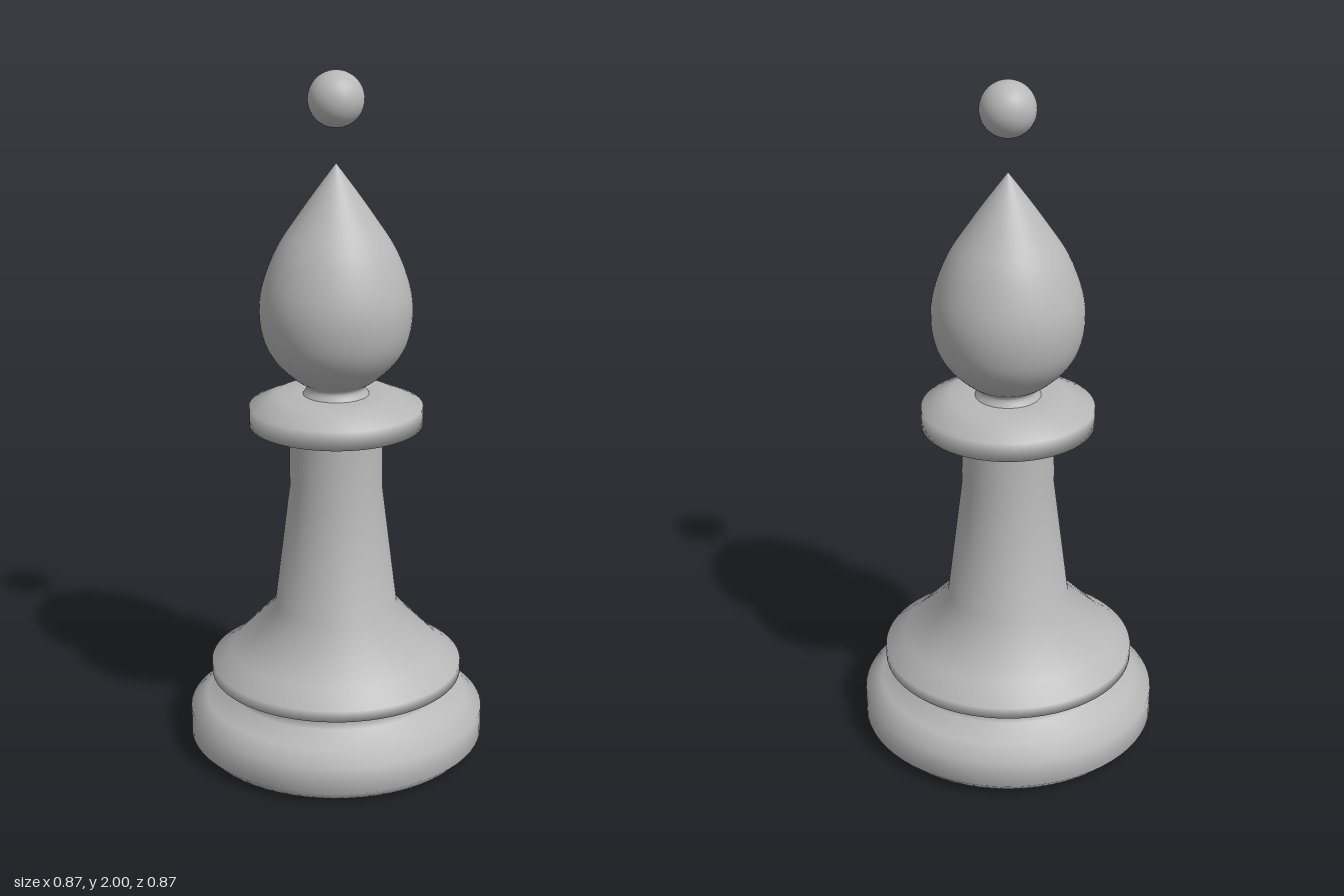
import * as THREE from 'three';

const SEGMENTS = 64;

export function createModel() {
  const group = new THREE.Group();
  const gray = new THREE.MeshStandardMaterial({ color: 0xb8b8b8 });
  gray.name = 'plain gray';

  const add = (name, geometry) => {
    const mesh = new THREE.Mesh(geometry, gray);
    mesh.name = name;
    group.add(mesh);
    return mesh;
  };
  // Turned part from [radius, height] pairs, bottom to top
  const turn = (name, profile) =>
    add(name, new THREE.LatheGeometry(profile.map(([r, y]) => new THREE.Vector2(r, y)), SEGMENTS));

  // Wide foot with bevelled rims
  turn('base', [[0, 0], [0.405, 0], [0.435, 0.03], [0.435, 0.11], [0.385, 0.145], [0.325, 0.175], [0.325, 0.2]]);

  // Flared skirt rising into the tapered stem
  turn('stem', [
    [0.325, 0.2], [0.37, 0.222], [0.37, 0.255], [0.31, 0.297],
    [0.18, 0.435], [0.135, 0.8], [0.135, 0.97],
  ]);

  // Collar ring
  turn('collar', [[0.135, 0.97], [0.25, 0.99], [0.25, 1.045], [0.17, 1.08], [0.095, 1.08]]);

  // Teardrop head: smooth curve from the neck to the pointed tip
  const curve = new THREE.SplineCurve([
    [0.095, 1.08], [0.085, 1.105], [0.12, 1.13], [0.172, 1.18], [0.205, 1.24], [0.218, 1.32],
    [0.208, 1.4], [0.17, 1.5], [0.112, 1.59], [0.052, 1.675], [0, 1.745],
  ].map(([r, y]) => new THREE.Vector2(r, y)));
  const headProfile = curve.getPoints(40).map((p) => [Math.max(p.x, 0), p.y]);
  turn('head', headProfile);

  // Ball floating above the tip
  add('finial', new THREE.SphereGeometry(0.079, 40, 24)).position.y = 1.921;

  return group;
}
